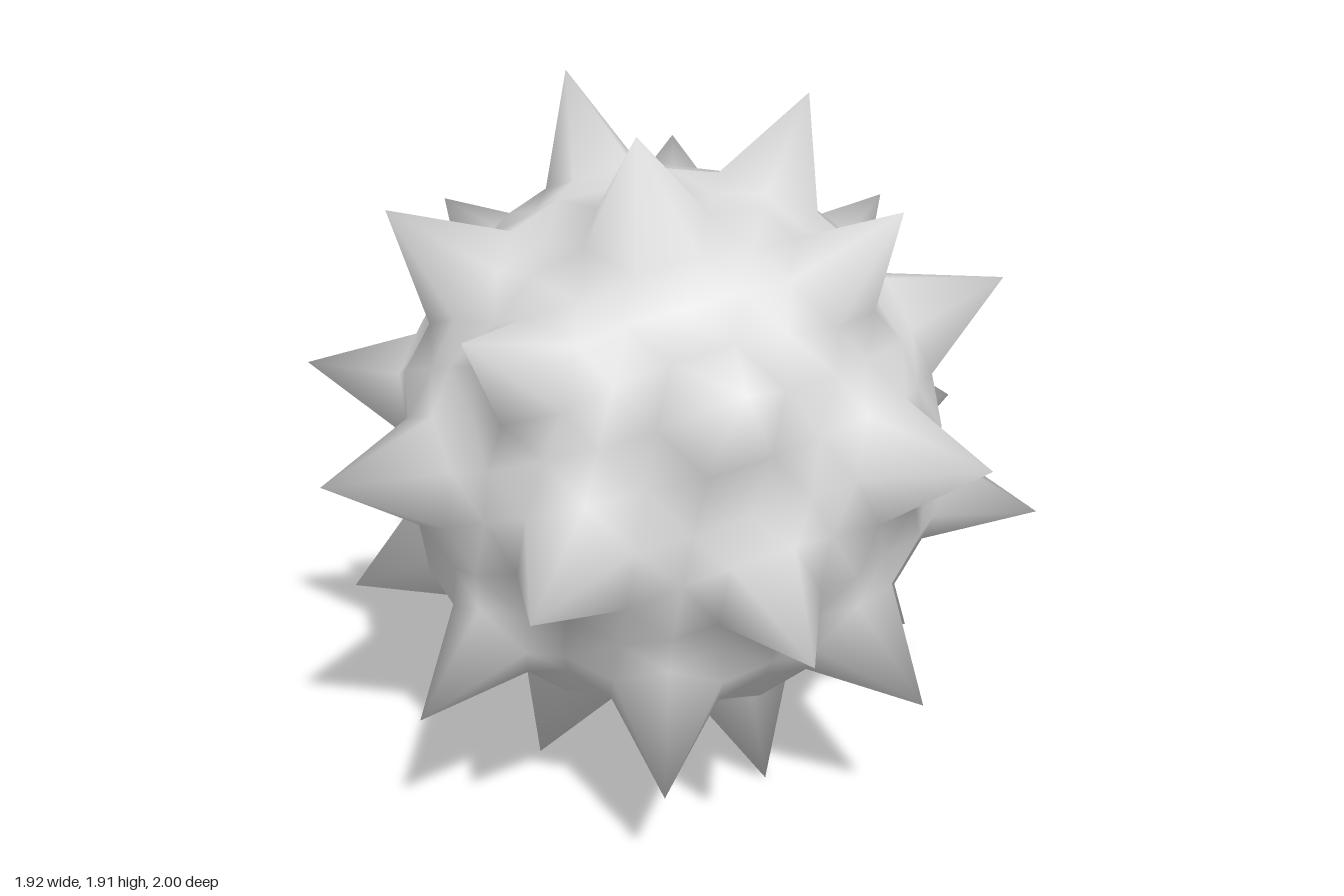
import * as THREE from 'three';
import { mergeVertices } from 'three/addons/utils/BufferGeometryUtils.js';

const VALLEY = 0.74;      // radius of the valley corners
const SADDLE = 0.712;     // radius halfway between two valley corners
const PENT = { tip: 1.0155, height: 0.732, radius: 0.138 };  // five-sided spikes
const HEX = { tip: 0.989, height: 0.712, radius: 0.161 };    // six-sided spikes
const CENTRE_Y = 0.954;
const TURN = THREE.MathUtils.degToRad(34.2);

export function createModel() {
  const group = new THREE.Group();
  group.name = 'spikyBall';
  const grey = new THREE.MeshStandardMaterial({ color: 0xd9d9d9 });
  grey.name = 'grey';

  // Icosahedron corners, three per face
  const pos = new THREE.IcosahedronGeometry(1, 0).getAttribute('position');
  const corner = (i) => new THREE.Vector3().fromBufferAttribute(pos, i);

  // Valley corner: a third of the way along an icosahedron edge
  const valley = (a, b) => a.clone().multiplyScalar(2).add(b).setLength(VALLEY);

  // Point of a spike's foot, on the side of the valley corner v
  const foot = (axis, spike, v) => {
    const out = v.clone().addScaledVector(axis, -v.dot(axis)).setLength(spike.radius);
    return out.addScaledVector(axis, spike.height);
  };

  // One wedge of a spike: its side, then the slope down to the valley edge v-w
  const points = [];
  const wedge = (axis, spike, v, w) => {
    const tip = axis.clone().multiplyScalar(spike.tip);
    const fv = foot(axis, spike, v), fw = foot(axis, spike, w);
    const mid = v.clone().add(w).setLength(SADDLE);
    points.push(tip, fv, fw, fv, mid, fw, fv, v, mid, fw, mid, w);
  };

  // Five-sided spikes on the corners, six-sided spikes on the faces
  for (let f = 0; f < pos.count; f += 3) {
    const tri = [corner(f), corner(f + 1), corner(f + 2)];
    const centre = tri[0].clone().add(tri[1]).add(tri[2]).normalize();
    for (let k = 0; k < 3; k++) {
      const a = tri[k], b = tri[(k + 1) % 3], c = tri[(k + 2) % 3];
      wedge(a, PENT, valley(a, b), valley(a, c));
      wedge(centre, HEX, valley(a, b), valley(b, a));
      wedge(centre, HEX, valley(a, c), valley(a, b));
    }
  }

  // Stand the solid with one valley corner straight up, then turn it
  const a = corner(0), b = corner(1);
  const up = valley(a, b).normalize();
  const front = b.clone().addScaledVector(up, -b.dot(up)).normalize();
  const side = up.clone().cross(front);
  const stand = new THREE.Matrix4().makeBasis(side, up, front).transpose();

  // Shared vertices give smooth normals across the spikes
  let geometry = new THREE.BufferGeometry().setFromPoints(points);
  geometry.applyMatrix4(stand);
  geometry.rotateY(TURN);
  geometry.translate(0, CENTRE_Y, 0);
  geometry = mergeVertices(geometry, 1e-4);
  geometry.computeVertexNormals();

  const ball = new THREE.Mesh(geometry, grey);
  ball.name = 'spikes';
  group.add(ball);
  return group;
}
